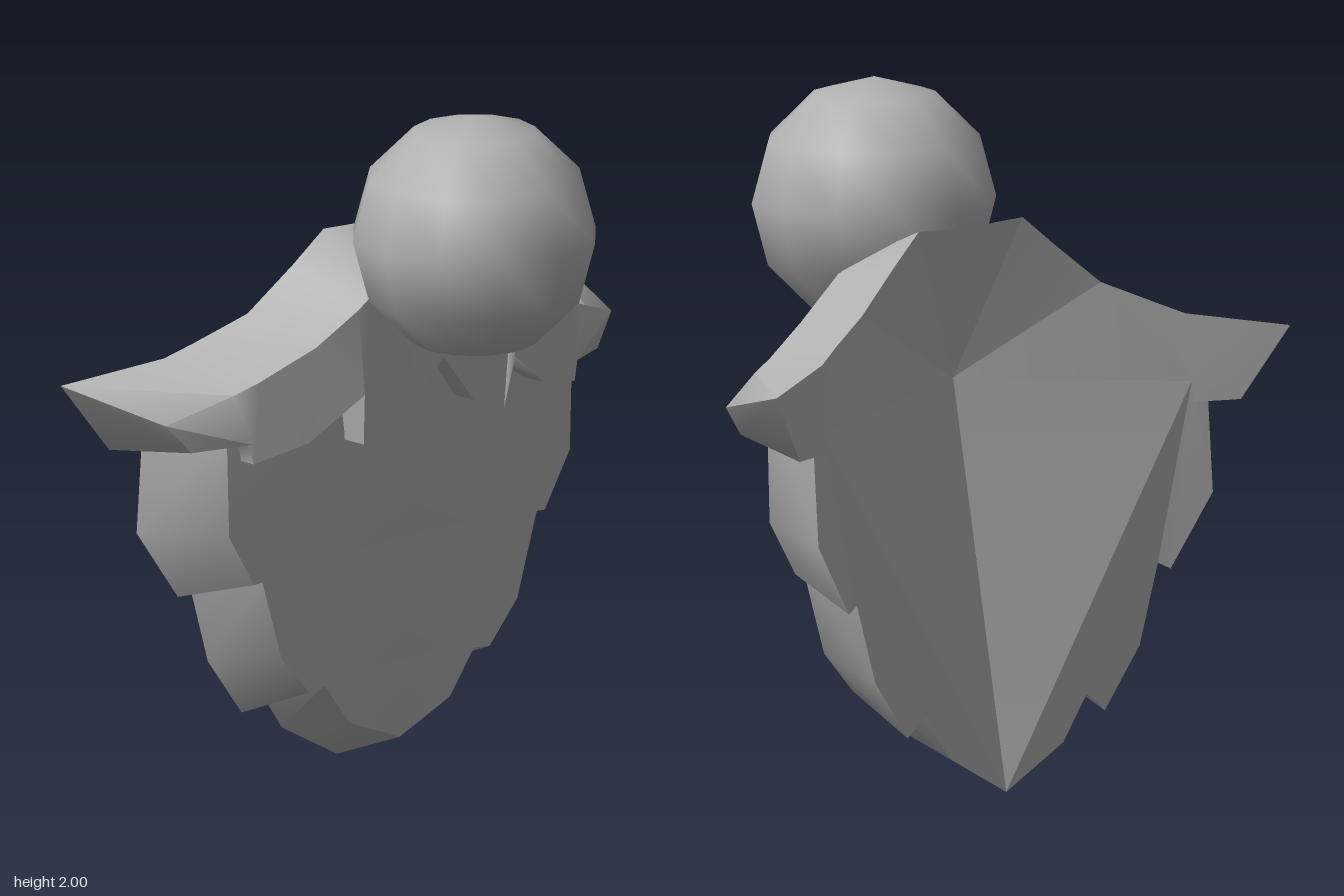
import * as THREE from 'three';
import { toCreasedNormals } from 'three/addons/utils/BufferGeometryUtils.js';

// Two triangles per cell between two rows of points
function strip(a, b) {
  const tris = [];
  for (let i = 0; i < a.length - 1; i++) {
    tris.push([a[i], a[i + 1], b[i + 1]], [a[i], b[i + 1], b[i]]);
  }
  return tris;
}

const loft = (rows) => rows.slice(1).flatMap((row, i) => strip(rows[i], row));
const fan = (p, pts) => pts.slice(1).map((q, i) => [p, pts[i], q]);

// Mirrors half of a surface across x = 0 and gives it creased normals
function mirrored(tris, crease) {
  const pos = [];
  const flip = ([x, y, z]) => [-x, y, z];
  const tri = new THREE.Triangle();
  for (const [a, b, c] of tris) {
    tri.set(new THREE.Vector3(...a), new THREE.Vector3(...b), new THREE.Vector3(...c));
    if (tri.getArea() < 1e-6) continue;
    pos.push(...a, ...b, ...c, ...flip(a), ...flip(c), ...flip(b));
  }
  const g = new THREE.BufferGeometry();
  g.setAttribute('position', new THREE.Float32BufferAttribute(pos, 3));
  return toCreasedNormals(g, crease);
}

export function createModel() {
  const group = new THREE.Group();
  const grey = new THREE.MeshStandardMaterial({ color: 0xb0b0b0 });
  grey.name = 'grey';
  const add = (name, geometry) => {
    const mesh = new THREE.Mesh(geometry, grey);
    mesh.name = name;
    group.add(mesh);
    return mesh;
  };

  // Round nose
  add('nose', new THREE.SphereGeometry(0.357, 12, 6)).position.set(0, 1.643, 0.165);

  // Beard: centre line, front outline and rear outline with leaf-like tips
  const centre = [1.25, 0.85, 0.72, 0.7, 0.48, 0.35, 0.32, 0.2, 0.1]
    .map((y) => [0, y, -0.14 + (y - 0.1) * 0.0957]);
  const front = [[0.69, 1.15], [0.68, 0.82], [0.58, 0.66], [0.55, 0.67], [0.47, 0.42],
    [0.36, 0.3], [0.3, 0.31], [0.2, 0.18], [0, 0.1]].map(([x, y]) => [x, y, -0.14]);
  const rear = [[0.76, 1.12, -0.41], [0.76, 0.79, -0.435], [0.62, 0.58, -0.41],
    [0.58, 0.6, -0.4], [0.51, 0.37, -0.4], [0.38, 0.195, -0.395], [0.31, 0.25, -0.395],
    [0.22, 0.12, -0.395], [0, 0, -0.395]];
  add('beard', mirrored(loft([centre, front, rear]), 1.1));

  // Moustache: rows from the underside up to the rear ridge
  const under = [[0, 1.26, -0.15], [0.14, 1.1, -0.15], [0.28, 1.045, -0.15], [0.3, 1.18, -0.15],
    [0.47, 1.07, -0.2], [0.64, 1.04, -0.28], [0.7, 1.05, -0.4], [0.85, 1.05, -0.455]];
  const lower = [[0, 1.26, 0.04], [0.14, 1.1, 0.02], [0.28, 1.045, 0], [0.3, 1.2, 0.025],
    [0.47, 1.08, -0.03], [0.64, 1.04, -0.08], [0.65, 1.1, -0.08], [0.81, 1.09, -0.16]];
  const upper = [[0, 1.52, 0.035], [0.14, 1.52, 0.03], [0.27, 1.48, 0.015], [0.31, 1.45, 0.01],
    [0.45, 1.36, -0.02], [0.62, 1.28, -0.075], [0.7, 1.25, -0.1], [0.89, 1.18, -0.185]];
  const ridge = [[0, 1.61, -0.24], [0.1, 1.615, -0.24], [0.2, 1.62, -0.245], [0.31, 1.53, -0.26],
    [0.46, 1.41, -0.29], [0.62, 1.34, -0.35], [0.7, 1.305, -0.385], [0.99, 1.255, -0.51]];
  const end = 7;
  const wingEnd = fan(ridge[end], [upper[end], lower[end], under[end]]);
  add('moustache', mirrored([...loft([under, lower, upper, ridge]), ...wingEnd], 1.1));

  // Faceted hollow back joining beard and moustache
  const hollow = [0, 1.17, -0.17];
  const corner = [0.71, 1.11, -0.4];
  add('back', mirrored([
    [hollow, corner, rear[8]],
    ...fan(corner, rear),
    ...fan(hollow, [...ridge.slice(0, 5), corner]),
    ...fan(corner, [...ridge.slice(4), under[7], under[6]]),
  ], 0.1));

  return group;
}
